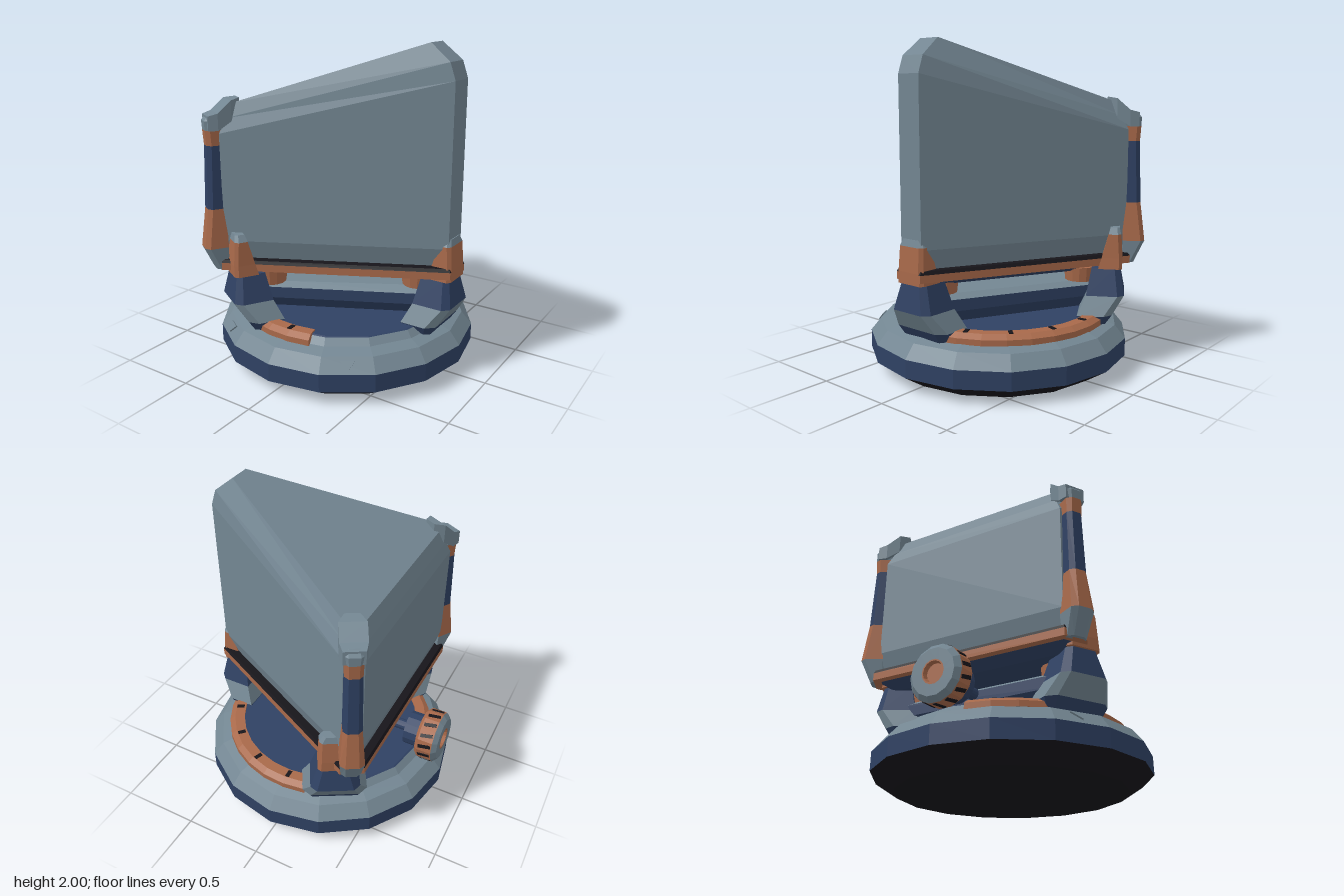
import * as THREE from 'three';

const mat = (name, color) => Object.assign(new THREE.MeshStandardMaterial({ color, flatShading: true }), { name });
const V = (x, y, z) => new THREE.Vector3(x, y, z);
const rad = THREE.MathUtils.degToRad;

// Closed solid through a list of equal-length rings, wound outward by signed volume
function loft(rings) {
  const tris = [], n = rings[0].length, last = rings[rings.length - 1];
  for (let i = 0; i + 1 < rings.length; i++) {
    for (let j = 0; j < n; j++) {
      const k = (j + 1) % n, a = rings[i][j], b = rings[i][k], c = rings[i + 1][k], d = rings[i + 1][j];
      tris.push([a, b, c], [a, c, d]);
    }
  }
  for (let j = 1; j + 1 < n; j++) {
    tris.push([rings[0][0], rings[0][j + 1], rings[0][j]], [last[0], last[j], last[j + 1]]);
  }
  const volume = tris.reduce((s, [a, b, c]) => s + a.dot(b.clone().cross(c)), 0);
  const points = tris.flatMap(([a, b, c]) => (volume < 0 ? [a, c, b] : [a, b, c]));
  const g = new THREE.BufferGeometry().setFromPoints(points);
  g.computeVertexNormals();
  return g;
}

export function createModel() {
  const model = new THREE.Group();
  model.name = 'beaconConsole';
  const grey = mat('steelGrey', 0x738692), copper = mat('copper', 0xa8694a);
  const navy = mat('navy', 0x2f4163), black = mat('nearBlack', 0x17151a);

  const add = (parent, name, geometry, material) => {
    const m = new THREE.Mesh(geometry, material);
    m.name = name;
    parent.add(m);
    return m;
  };
  // bands: [name, material, first ring, last ring]
  const addBands = (parent, rings, bands) =>
    bands.forEach(([name, m, from, to]) => add(parent, name, loft(rings.slice(from, to + 1)), m));

  // Round sixteen-sided base
  const disc = (r, y) => Array.from({ length: 16 }, (_, i) =>
    V(r * Math.cos(i * Math.PI / 8), y, r * Math.sin(i * Math.PI / 8)));
  addBands(model, [disc(0.68, 0), disc(0.82, 0.09), disc(0.82, 0.2), disc(0.755, 0.28),
    disc(0.68, 0.305), disc(0.645, 0.345), disc(0.635, 0.35)], [
    ['baseUnderside', black, 0, 1], ['baseBand', navy, 1, 2],
    ['baseShoulder', grey, 2, 5], ['baseDeck', navy, 5, 6]]);

  // Small triangular plates on the shoulder
  const tri = new THREE.Shape([[-0.045, 0.025], [0.045, 0.025], [0.01, -0.03]].map(p => new THREE.Vector2(...p)));
  for (const deg of [56.25, 123.75]) {
    const m = add(model, 'shoulderMark', new THREE.ExtrudeGeometry(tri, { depth: 0.009, bevelEnabled: false }), grey);
    const a = rad(deg);
    m.position.set(0.772 * Math.cos(a), 0.243, 0.772 * Math.sin(a));
    m.rotation.set(-0.68, Math.PI / 2 - a, 0, 'YXZ');
  }

  // Curved dial tracks with four ticks each
  const trackSection = [[0.59, 0.3], [0.69, 0.3], [0.69, 0.335], [0.655, 0.36], [0.59, 0.36]];
  for (const [start, end, firstTick] of [[75, 171, 88], [-104, -8, -93]]) {
    const rings = [];
    for (let i = 0; i <= 8; i++) {
      const a = rad(start + (end - start) * i / 8);
      rings.push(trackSection.map(([r, y]) => V(r * Math.cos(a), y, r * Math.sin(a))));
    }
    add(model, 'dialTrack', loft(rings), copper);
    for (let i = 0; i < 4; i++) {
      const a = rad(firstTick + 23.3 * i);
      const t = add(model, 'dialTick', new THREE.BoxGeometry(0.05, 0.009, 0.025), black);
      t.position.set(0.625 * Math.cos(a), 0.36, 0.625 * Math.sin(a));
      t.rotation.y = -a;
    }
  }

  // Truncated triangle outline, inset by d
  const outline = d => {
    const half = [[0.76 - d, 0.08 - 0.62 * d], [-0.43 + 0.1 * d, 0.68 - 1.17 * d], [-0.53 + d, 0.62 - 0.6 * d]];
    return [...half, ...half.map(([x, z]) => [x, -z]).reverse()];
  };
  const slab = (d, y) => outline(d).map(([x, z]) => V(x, y, z));

  // Lower frame between the legs
  addBands(model, [slab(0.17, 0.35), slab(0.1, 0.43), slab(0.1, 0.5), slab(0.16, 0.535)], [
    ['lowerFrame', navy, 0, 2], ['lowerFrameTop', grey, 2, 3]]);

  // Tray under the body
  addBands(model, [slab(0.09, 0.605), slab(0.02, 0.65)], [['trayUnderside', navy, 0, 1]]);
  addBands(model, [slab(-0.025, 0.65), slab(-0.025, 0.695), slab(-0.015, 0.715)], [
    ['trayRim', copper, 0, 1], ['trayLedge', black, 1, 2]]);

  // Wedge-shaped body with sloping roof
  const mirrored = half => [...half.map(p => V(...p)), ...half.map(([x, y, z]) => V(x, y, -z)).reverse()];
  add(model, 'body', loft([
    slab(0.035, 0.71), slab(0, 0.83),
    mirrored([[0.76, 1.8, 0.08], [-0.43, 1.48, 0.68], [-0.53, 1.46, 0.62]]),
    mirrored([[0.725, 1.9, 0.08], [-0.415, 1.565, 0.64], [-0.505, 1.54, 0.585]]),
    mirrored([[0.6, 2, 0.07], [-0.4, 1.65, 0.6], [-0.47, 1.625, 0.55]]),
  ]), grey);

  // Three legs with clasps and round standoffs
  const legRing = (y, xin, xout, hw, ch = 0.03) => [[xin, hw], [xout - ch, hw], [xout, hw - ch],
    [xout, ch - hw], [xout - ch, -hw], [xin, -hw]].map(([x, z]) => V(x, y, z));
  for (const deg of [0, 120, -120]) {
    const leg = new THREE.Group();
    leg.name = 'leg';
    leg.rotation.y = -rad(deg);
    model.add(leg);
    addBands(leg, [legRing(0.295, 0.52, 0.69, 0.17), legRing(0.355, 0.52, 0.73, 0.2, 0.05),
      legRing(0.47, 0.57, 0.8, 0.15, 0.04), legRing(0.635, 0.6, 0.77, 0.1)], [
      ['foot', navy, 0, 1], ['ankle', grey, 1, 2], ['shin', navy, 2, 3]]);
    addBands(leg, [legRing(0.63, 0.64, 0.785, 0.105, 0.02), legRing(0.7, 0.66, 0.785, 0.1, 0.02),
      legRing(0.845, 0.7, 0.775, 0.095, 0.02), legRing(0.885, 0.71, 0.765, 0.07, 0.015)], [
      ['clasp', copper, 0, 2], ['claspTip', grey, 2, 3]]);
    const standoff = add(leg, 'standoff', new THREE.CylinderGeometry(0.105, 0.095, 0.09, 14), copper);
    standoff.position.set(0.525, 0.585, 0);
  }

  // Tall corner posts at the two rear corners, with caps hooked over the roof
  for (const s of [1, -1]) {
    const post = new THREE.Group();
    post.name = 'cornerPost';
    model.add(post);
    const at = (u, v, y) => V(-0.48 - 0.515 * u + 0.857 * v, y, s * (0.66 + 0.857 * u + 0.515 * v));
    const ring = (y, u, hw) => [[-0.03, hw], [u - 0.025, hw], [u, hw * 0.55],
      [u, -hw * 0.55], [u - 0.025, -hw], [-0.03, -hw]].map(([a, b]) => at(a, b, y));
    addBands(post, [ring(0.65, 0.04, 0.06), ring(0.79, 0.105, 0.072), ring(1.03, 0.075, 0.055),
      ring(1.41, 0.062, 0.05), ring(1.5, 0.068, 0.052), ring(1.555, 0.07, 0.06), ring(1.59, 0.04, 0.05)], [
      ['postHeel', grey, 0, 1], ['postLowerSleeve', copper, 1, 2], ['postShaft', navy, 2, 3],
      ['postUpperSleeve', copper, 3, 4], ['postCap', grey, 4, 6]]);
    const hook = (u, lo, hi, hw) => [at(u, hw, lo), at(u, hw, hi), at(u, -hw, hi), at(u, -hw, lo)];
    add(post, 'roofHook', loft([hook(0.055, 1.5, 1.585, 0.06), hook(0, 1.5, 1.6, 0.075),
      hook(-0.08, 1.55, 1.67, 0.075), hook(-0.14, 1.6, 1.68, 0.04)]), grey);
  }

  // Side knob on a short shaft
  const knob = new THREE.Group();
  knob.name = 'knob';
  knob.position.y = 0.483;
  model.add(knob);
  const wheel = (x, r) => Array.from({ length: 14 }, (_, i) =>
    V(x, r * Math.cos((i + 0.5) * Math.PI / 7), r * Math.sin((i + 0.5) * Math.PI / 7)));
  addBands(knob, [wheel(-0.675, 0.145), wheel(-0.695, 0.165), wheel(-0.79, 0.165)], [['knobGrip', copper, 0, 2]]);
  addBands(knob, [wheel(-0.79, 0.165), wheel(-0.818, 0.135), wheel(-0.818, 0.07), wheel(-0.78, 0.07)],
    [['knobFace', grey, 0, 3]]);
  add(knob, 'knobSocket', loft([wheel(-0.785, 0.07), wheel(-0.818, 0.07), wheel(-0.818, 0.062),
    wheel(-0.792, 0.055)]), copper);
  add(knob, 'knobShaft', loft([wheel(-0.68, 0.108), wheel(-0.58, 0.108)]), navy);
  add(knob, 'knobAxle', loft([wheel(-0.58, 0.035), wheel(-0.4, 0.035)]), navy);
  for (let i = 0; i < 14; i++) {
    const spoke = new THREE.Group();
    spoke.name = 'gripMark';
    spoke.rotation.x = i * Math.PI / 7;
    knob.add(spoke);
    const m = add(spoke, 'gripNotch', new THREE.BoxGeometry(0.078, 0.009, 0.022), black);
    m.position.set(-0.743, 0.161, 0);
    m.rotation.y = 0.2;
  }
  return model;
}
